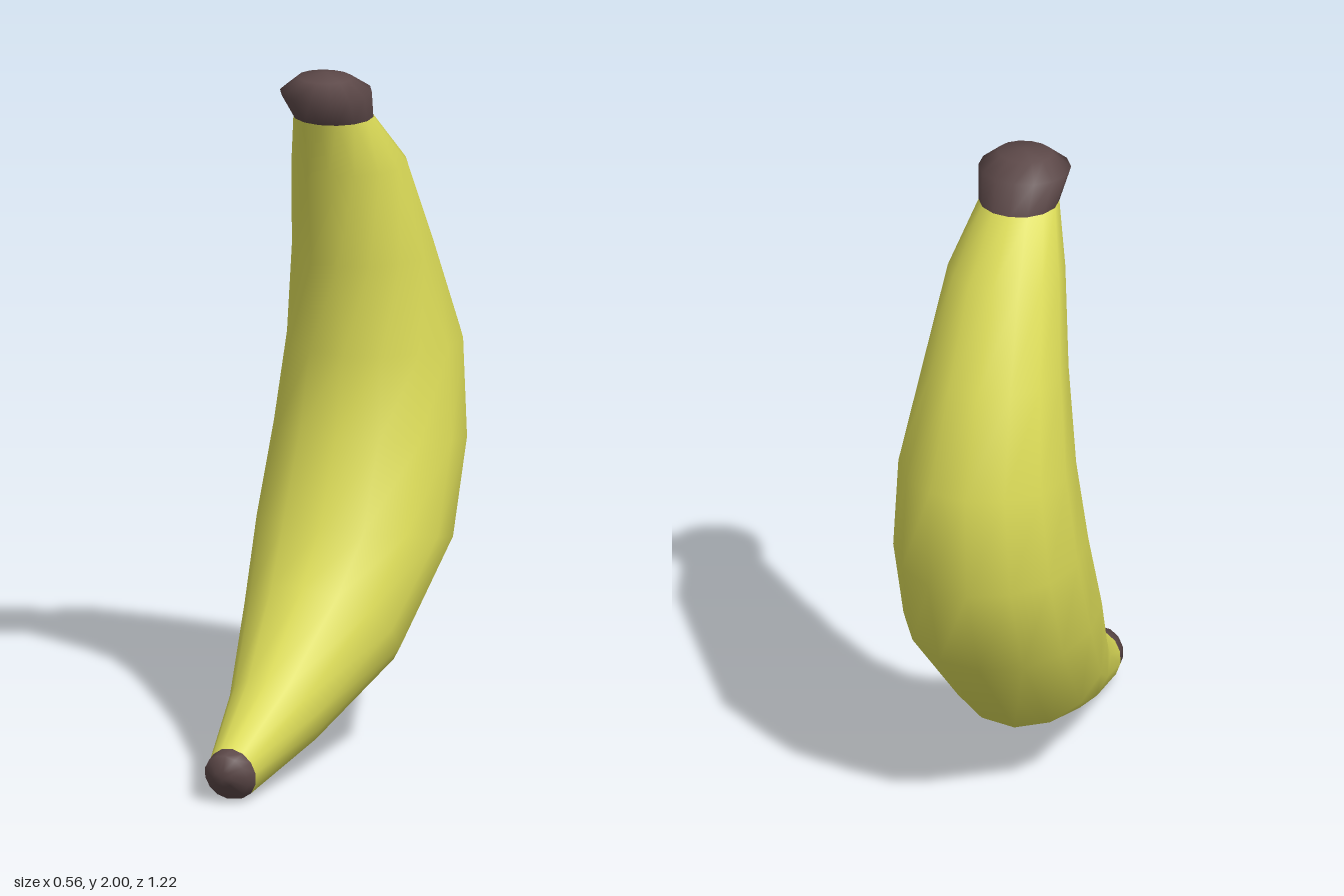
import * as THREE from 'three';
import { mergeVertices } from 'three/addons/utils/BufferGeometryUtils.js';

const SIDES = 14;

// Lofts a smooth skin through rings, listed from the top end to the bottom end.
// Each ring: [inner z, inner y, outer z, outer y, half width in x]
function loft(rings) {
  const pos = [], index = [];
  for (const [iz, iy, oz, oy, w] of rings) {
    for (let j = 0; j < SIDES; j++) {
      const a = (j / SIDES) * Math.PI * 2 + 0.1;
      const c = Math.cos(a) / 2;
      pos.push(Math.sin(a) * w, (iy + oy) / 2 + c * (iy - oy), (iz + oz) / 2 + c * (iz - oz));
    }
  }
  for (let i = 0; i < rings.length - 1; i++) {
    for (let j = 0; j < SIDES; j++) {
      const k = (j + 1) % SIDES;
      const a = i * SIDES + j, b = i * SIDES + k;
      const c = a + SIDES, d = b + SIDES;
      index.push(a, c, b, b, c, d);
    }
  }
  const raw = new THREE.BufferGeometry();
  raw.setAttribute('position', new THREE.Float32BufferAttribute(pos, 3));
  raw.setIndex(index);
  const geo = mergeVertices(raw, 1e-4); // joins the pole points
  geo.computeVertexNormals();
  return geo;
}

export function createModel() {
  const yellow = new THREE.MeshStandardMaterial({ color: 0xdcdc58 });
  yellow.name = 'peelYellow';
  const brown = new THREE.MeshStandardMaterial({ color: 0x5c4848 });
  brown.name = 'stemBrown';

  const group = new THREE.Group();
  group.name = 'banana';
  const add = (name, rings, material) => {
    const mesh = new THREE.Mesh(loft(rings), material);
    mesh.name = name;
    group.add(mesh);
  };

  const neck = [0.02, 1.86, -0.205, 1.86, 0.115];
  const end = [0.56, 0.157, 0.53, 0.002, 0.075];

  // Curved peel
  add('peel', [
    neck,
    [-0.03, 1.7, -0.36, 1.7, 0.167],
    [-0.08, 1.42, -0.49, 1.43, 0.207],
    [-0.1, 1.15, -0.61, 1.15, 0.252],
    [-0.05, 0.92, -0.602, 0.84, 0.277],
    [0.05, 0.68, -0.505, 0.555, 0.282],
    [0.15, 0.53, -0.195, 0.22, 0.232],
    [0.35, 0.31, 0.195, 0.077, 0.14],
    end,
  ], yellow);

  // Flared stem cap with a shallow dome
  add('stemCap', [
    [-0.045, 2, -0.045, 2, 0],
    [0.03, 1.985, -0.11, 1.988, 0.08],
    [0.085, 1.94, -0.175, 1.95, 0.132],
    neck,
  ], brown);

  // Small blunt tip
  add('bottomTip', [
    end,
    [0.603, 0.146, 0.565, 0.01, 0.068],
    [0.61, 0.1, 0.603, 0.055, 0.03],
    [0.61, 0.077, 0.61, 0.077, 0],
  ], brown);

  return group;
}
